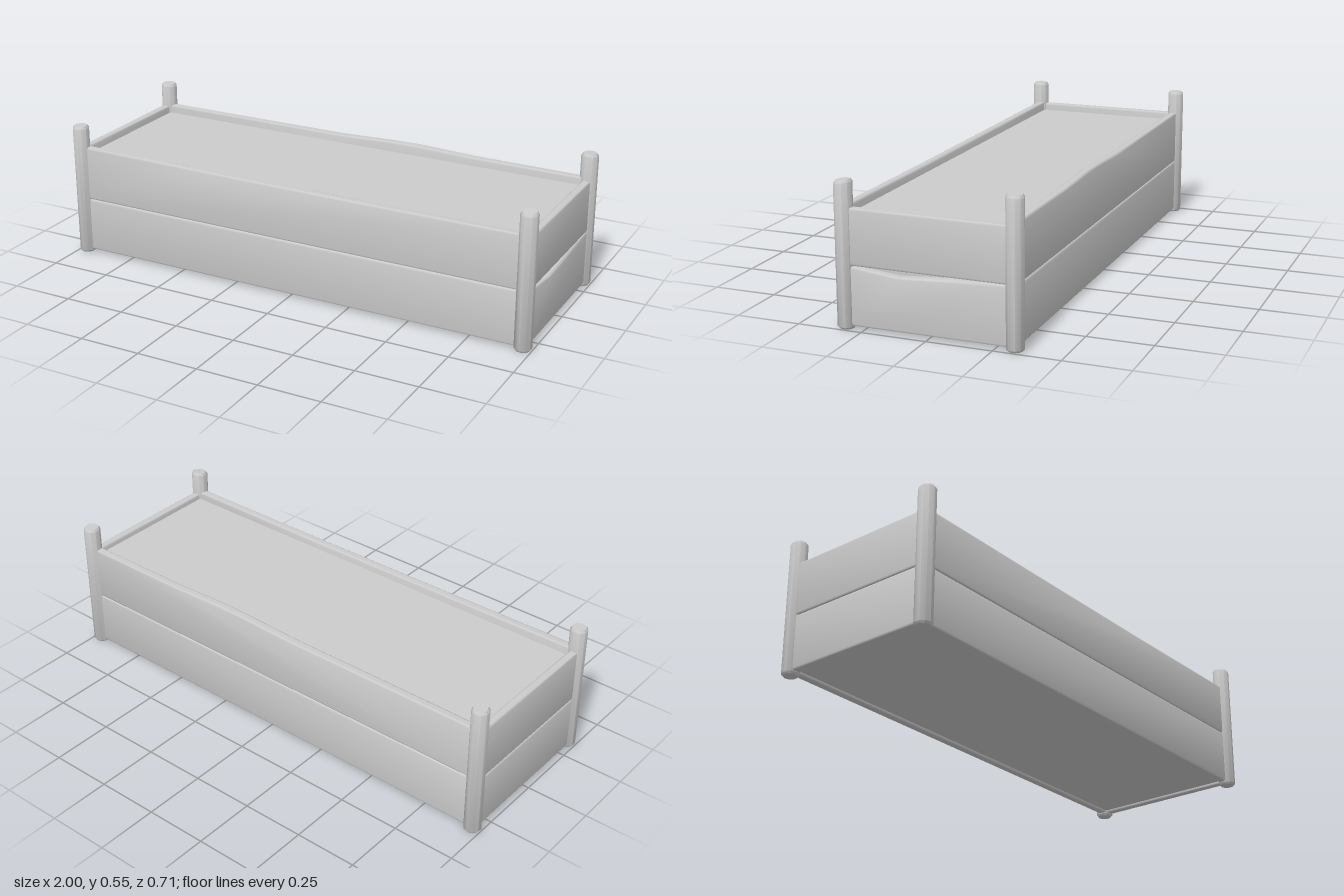
import * as THREE from 'three';
import { toCreasedNormals } from 'three/addons/utils/BufferGeometryUtils.js';

const material = new THREE.MeshStandardMaterial({ color: 0xcccccc });

function addMesh(parent, geometry, name) {
  const mesh = new THREE.Mesh(geometry, material);
  mesh.name = name;
  parent.add(mesh);
  return mesh;
}

// Plank centred in x and z; its top and bottom edges are lists of [x, y], left to right
function plankGeometry(bottom, top, thickness) {
  const bevel = 0.009;
  const outline = [...bottom, ...[...top].reverse()].map(([x, y]) => new THREE.Vector2(x, y));
  const geometry = new THREE.ExtrudeGeometry(new THREE.Shape(outline), {
    depth: thickness - 2 * bevel,
    bevelThickness: bevel,
    bevelSize: bevel,
    bevelOffset: -bevel,
    bevelSegments: 2,
  });
  geometry.translate(0, 0, bevel - thickness / 2);
  return toCreasedNormals(geometry, 0.9);
}

// Round post with worn edges and a slightly sloping top
function postGeometry(height, slope) {
  const r = 0.034;
  const profile = [[0, 0], [r * 0.8, 0], [r, 0.008], [r, height - 0.01], [r * 0.8, height], [0, height]];
  const geometry = new THREE.LatheGeometry(profile.map(([x, y]) => new THREE.Vector2(x, y)), 10);
  const p = geometry.attributes.position;
  for (let i = 0; i < p.count; i++) {
    if (p.getY(i) > height / 2) p.setY(i, p.getY(i) + slope * p.getZ(i));
  }
  return toCreasedNormals(geometry, 0.75);
}

export function createModel() {
  const bed = new THREE.Group();
  bed.name = 'raisedBed';

  // Corner posts
  const posts = [
    ['frontLeftPost', 0.966, 0.322, 0.543, -0.12],
    ['frontRightPost', -0.966, 0.322, 0.548, 0],
    ['backLeftPost', 0.966, -0.322, 0.552, 0.04],
    ['backRightPost', -0.966, -0.322, 0.549, 0],
  ];
  for (const [name, x, z, height, slope] of posts) {
    addMesh(bed, postGeometry(height, slope), name).position.set(x, 0, z);
  }

  // Long side planks, two per side
  const L = 0.955, seam = 0.234;
  const flat = (half, y) => [[-half, y], [half, y]];
  const lowerSide = plankGeometry(flat(L, 0.011), flat(L, seam), 0.034);
  const upperFront = plankGeometry(flat(L, seam), [[-L, 0.459], [-0.4, 0.456], [0.3, 0.453], [L, 0.454]], 0.034);
  const upperBack = plankGeometry(flat(L, seam),
    [[-L, 0.456], [-0.1, 0.456], [0.12, 0.464], [0.25, 0.466], [0.48, 0.457], [L, 0.454]], 0.034);
  for (const [side, z, upper] of [['front', 0.316, upperFront], ['back', -0.316, upperBack]]) {
    addMesh(bed, lowerSide, side + 'LowerPlank').position.z = z;
    addMesh(bed, upper, side + 'UpperPlank').position.z = z;
  }

  // End planks; the lower one on the left end has a chipped top edge
  const E = 0.315;
  const lowerEnd = plankGeometry(flat(E, 0.011), flat(E, seam), 0.034);
  const chippedEnd = plankGeometry(flat(E, 0.011), [[-E, seam], [-0.11, 0.214], [0.1, 0.23], [E, seam]], 0.034);
  const upperLeft = plankGeometry(flat(E, seam), flat(E, 0.445), 0.034);
  const upperRight = plankGeometry(flat(E, seam), flat(E, 0.453), 0.034);
  const ends = [['left', 0.965, chippedEnd, upperLeft], ['right', -0.967, lowerEnd, upperRight]];
  for (const [side, x, lower, upper] of ends) {
    const end = new THREE.Group();
    end.name = side + 'End';
    end.position.x = x;
    end.rotation.y = Math.PI / 2;
    addMesh(end, lower, side + 'LowerPlank');
    addMesh(end, upper, side + 'UpperPlank');
    bed.add(end);
  }

  // Soil filling the box
  addMesh(bed, new THREE.BoxGeometry(1.914, 0.4, 0.614), 'soil').position.y = 0.222;

  return bed;
}
